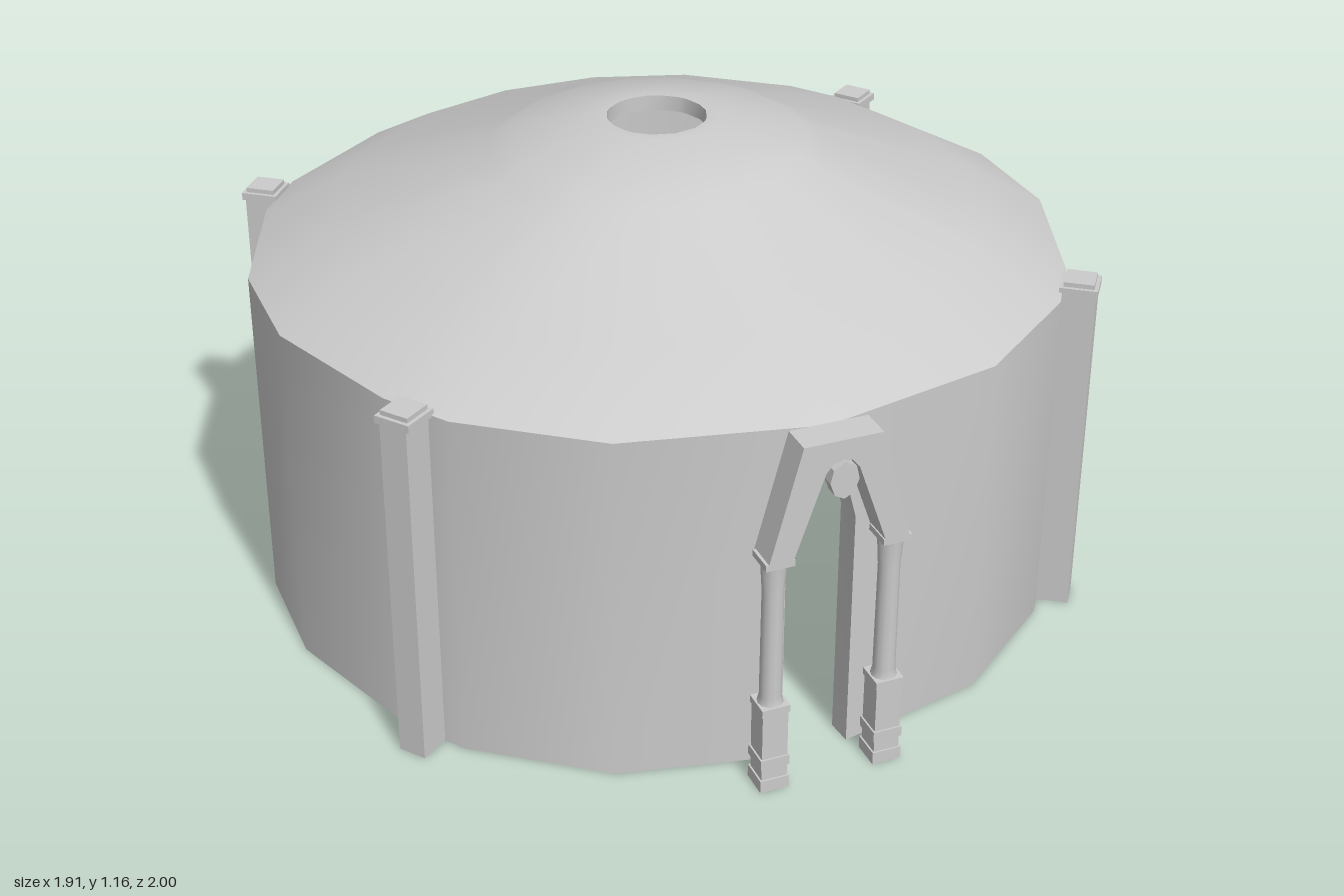
import * as THREE from 'three';
import { toCreasedNormals } from 'three/addons/utils/BufferGeometryUtils.js';

const material = new THREE.MeshStandardMaterial({ color: 0xcccccc });
const CENTRE_Z = -0.05;   // the round plan sits slightly behind the origin

function add(parent, name, geometry, x = 0, y = 0, z = 0) {
  const mesh = new THREE.Mesh(geometry, material);
  mesh.name = name;
  mesh.position.set(x, y, z);
  parent.add(mesh);
  return mesh;
}

// Joins closed cross-sections into a closed ring
function loftRing(sections) {
  const n = sections.length, m = sections[0].length, index = [];
  for (let i = 0; i < n; i++) {
    for (let j = 0; j < m; j++) {
      const i2 = (i + 1) % n, j2 = (j + 1) % m;
      const a = i * m + j, b = i2 * m + j, c = i2 * m + j2, d = i * m + j2;
      index.push(a, b, c, a, c, d);
    }
  }
  const geometry = new THREE.BufferGeometry();
  geometry.setAttribute('position', new THREE.Float32BufferAttribute(sections.flat(2), 3));
  geometry.setIndex(index);
  return toCreasedNormals(geometry, 0.48);
}

// Half plan, from the front round to the back: x, z
const halfPlan = [
  [0, 0.905], [0.44, 0.81], [0.722, 0.6], [0.82, 0.455], [0.953, 0.1],
  [0.953, -0.2], [0.825, -0.55], [0.725, -0.69], [0.44, -0.91], [0.152, -1],
];
// Doorway edge: x and height of the wall's lower edge
const doorway = [[0.025, 0.765], [0.04, 0.73], [0.08, 0.59], [0.08, 0]];

// Completes a half list that starts on the centre line
const mirror = (half) => [
  ...half,
  ...half.slice(1).reverse().map(([x, ...rest]) => [-x, ...rest]),
];

function wallGeometry() {
  const half = [
    [0, 0.905, 0.775],
    ...doorway.map(([x, y]) => [x, 0.905 - 0.216 * x, y]),
    ...halfPlan.slice(1).map(([x, z]) => [x, z, 0]),
  ];
  const inner = 0.935;
  return loftRing(mirror(half).map(([x, z, low]) => {
    const xi = x * inner, zi = CENTRE_Z + (z - CENTRE_Z) * inner;
    return [[x, low, z], [x, 0.84, z], [xi, 0.84, zi], [xi, low, zi]];
  }));
}

function roofGeometry() {
  // Radius and height: outside up to the smoke hole, then back down inside
  const profile = [
    [0.955, 0.84], [0.765, 0.947], [0.39, 1.085], [0.35, 1.108], [0.145, 1.157], [0.117, 1.157],
    [0.117, 1.12], [0.36, 1.05], [0.73, 0.91], [0.893, 0.84],
  ];
  return loftRing(mirror(halfPlan).map(([x, z]) => {
    const dz = z - CENTRE_Z, length = Math.hypot(x, dz);
    return profile.map(([r, y]) => {
      // rings grow rounder towards the hole
      const s = r / 0.955;
      const radius = THREE.MathUtils.lerp(r, length * s, s);
      return [x / length * radius, y, CENTRE_Z + dz / length * radius];
    });
  }));
}

function buttress(parent, x, z) {
  const group = new THREE.Group();
  group.name = 'buttress';
  group.position.set(x, 0, z);
  group.rotation.y = Math.atan2(x, z - CENTRE_Z);
  add(group, 'buttressShaft', new THREE.BoxGeometry(0.068, 0.84, 0.08), 0, 0.42, 0);
  add(group, 'buttressCap', new THREE.BoxGeometry(0.088, 0.018, 0.088), 0, 0.845, 0);
  add(group, 'buttressCapTop', new THREE.BoxGeometry(0.07, 0.012, 0.07), 0, 0.859, 0);
  parent.add(group);
}

function portalColumn(parent, x) {
  const group = new THREE.Group();
  group.name = 'portalColumn';
  group.position.set(x, 0, 0.955);
  // Stepped pedestal: width, bottom, top
  const steps = [[0.068, 0, 0.03], [0.06, 0.03, 0.06], [0.068, 0.06, 0.085], [0.06, 0.085, 0.2], [0.066, 0.2, 0.217]];
  for (const [w, y0, y1] of steps) {
    add(group, 'pedestal', new THREE.BoxGeometry(w, y1 - y0, w), 0, (y0 + y1) / 2, 0);
  }
  const shaft = [[0.03, 0.215], [0.025, 0.235], [0.024, 0.5], [0.029, 0.575]].map(([r, y]) => new THREE.Vector2(r, y));
  add(group, 'columnShaft', new THREE.LatheGeometry(shaft, 12));
  add(group, 'capital', new THREE.BoxGeometry(0.066, 0.015, 0.07), 0, 0.58, 0);
  parent.add(group);
}

function extrudeShape(points, depth) {
  const shape = new THREE.Shape(points.map(([x, y]) => new THREE.Vector2(x, y)));
  return new THREE.ExtrudeGeometry(shape, { depth, bevelEnabled: false });
}

function portal(parent) {
  const group = new THREE.Group();
  group.name = 'portal';
  group.position.x = -0.005;
  for (const side of [-1, 1]) portalColumn(group, side * 0.135);
  // Pointed arch with a blunt top
  const arch = [
    [-0.163, 0.58], [-0.108, 0.58], [-0.038, 0.78], [-0.02, 0.802], [0.02, 0.802], [0.038, 0.78],
    [0.108, 0.58], [0.163, 0.58], [0.09, 0.852], [-0.09, 0.852],
  ];
  add(group, 'portalArch', extrudeShape(arch, 0.075), 0, 0, 0.915);
  // Small pendant at the crown
  const pendant = [
    [-0.033, 0.76], [-0.022, 0.73], [0, 0.718], [0.022, 0.73], [0.033, 0.76], [0.026, 0.79], [0, 0.806], [-0.026, 0.79],
  ];
  add(group, 'crownPendant', extrudeShape(pendant, 0.03), 0, 0, 0.97);
  parent.add(group);
}

export function createModel() {
  const model = new THREE.Group();
  model.name = 'roundHall';
  add(model, 'wall', wallGeometry());
  add(model, 'roof', roofGeometry());
  for (const side of [-1, 1]) {
    buttress(model, side * 0.802, 0.55);
    buttress(model, side * 0.802, -0.648);
  }
  portal(model);
  return model;
}
